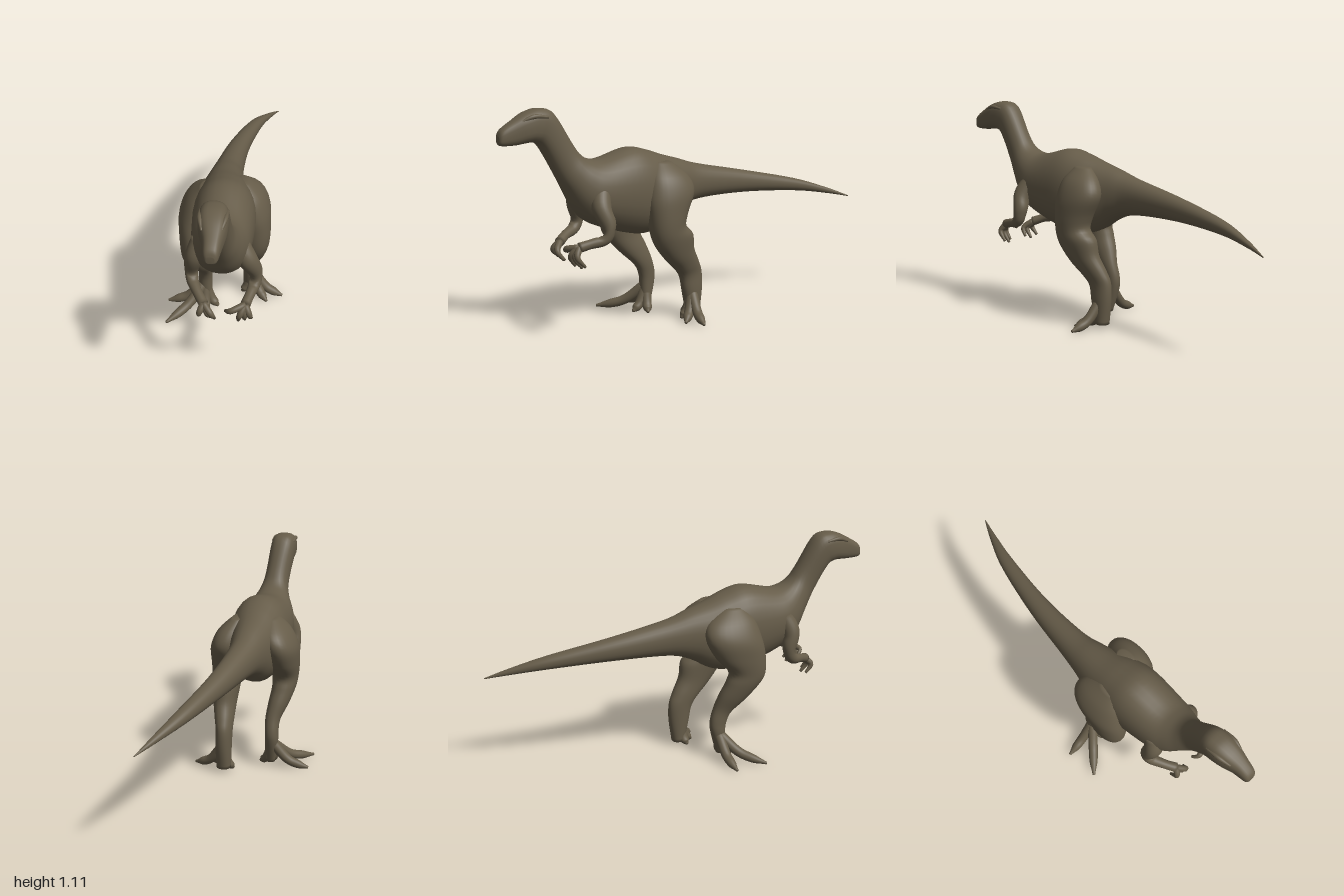
import * as THREE from 'three';

const SIDES = 28;
const V3 = (x, y, z) => new THREE.Vector3(x, y, z);

// Smooth in-between rows for a short list of cross-sections
function refine(rows, steps) {
  const out = [];
  const row = i => rows[Math.min(Math.max(i, 0), rows.length - 1)];
  for (let i = 0; i < rows.length - 1; i++) {
    for (let s = 0; s < steps; s++) {
      const t = s / steps;
      out.push(row(i).map((b, k) => {
        const a = row(i - 1)[k], c = row(i + 1)[k], d = row(i + 2)[k];
        return b + 0.5 * t * (c - a + t * (2 * a - 5 * b + 4 * c - d + t * (3 * (b - c) + d - a)));
      }));
    }
  }
  out.push(rows[rows.length - 1]);
  return out;
}

// Skin over rings {c, u, v, p}: centre, two half axes and roundness; ends closed
function skin(rings) {
  const zero = V3(0, 0, 0);
  const first = rings[0], last = rings[rings.length - 1];
  const all = [{ ...first, u: zero, v: zero }, ...rings, { ...last, u: zero, v: zero }];
  const pos = [], idx = [];
  const soft = (n, p) => Math.sign(n) * Math.pow(Math.abs(n), p);
  all.forEach(({ c, u, v, p }, i) => {
    for (let j = 0; j < SIDES; j++) {
      const a = (j / SIDES) * Math.PI * 2;
      const q = c.clone().addScaledVector(u, soft(Math.cos(a), p)).addScaledVector(v, soft(Math.sin(a), p));
      pos.push(q.x, Math.max(q.y, 0), q.z);
      if (i < all.length - 1) {
        const k = i * SIDES + j, n = i * SIDES + (j + 1) % SIDES;
        idx.push(k, n, k + SIDES, n, n + SIDES, k + SIDES);
      }
    }
  });
  const g = new THREE.BufferGeometry();
  g.setAttribute('position', new THREE.Float32BufferAttribute(pos, 3));
  g.setIndex(idx);
  g.computeVertexNormals();
  return g;
}

// Rows: z, y of one edge, z, y of the opposite edge, centre x, half width.
// The section grows squarer towards the head.
function loft(rows, side) {
  return skin(refine(rows, 5).map(([z1, y1, z2, y2, x, w]) => ({
    c: V3(x, (y1 + y2) / 2, (z1 + z2) / 2),
    u: V3(0, (y1 - y2) / 2, (z1 - z2) / 2),
    v: V3(side * Math.max(w, 0.001), 0, 0),
    p: 0.92 - 0.2 * THREE.MathUtils.smoothstep(z1, 0.65, 0.8),
  })));
}

// Tapered limb through points x, y, z, radius
function limb(points) {
  const curve = new THREE.CatmullRomCurve3(points.map(p => V3(p[0], p[1], p[2])));
  const n = (points.length - 1) * 5, f = curve.computeFrenetFrames(n);
  const radii = refine(points.map(p => [p[3]]), 5);
  return skin(radii.map(([r], i) => ({
    c: curve.getPoint(i / n),
    u: f.normals[i].clone().multiplyScalar(r),
    v: f.binormals[i].clone().multiplyScalar(r), p: 1,
  })));
}

const mix = (a, b, t) => a + (b - a) * t;

// Toe: drops steeply from the ankle, then runs flat to its tip
function toe([ax, ay, az], [x, z]) {
  const at = (t, y, r) => [mix(ax, x, t), y, mix(az, z, t), r];
  return limb([[ax, ay, az, 0.027], at(0.42, 0.052, 0.025), at(0.72, 0.026, 0.022), at(1, 0.012, 0.007)]);
}

// Finger: bows forward from the wrist, then curls back to its tip
function finger([wx, wy, wz], [x, y, z]) {
  return limb([[wx, wy, wz, 0.017],
    [mix(wx, x, 0.75), mix(wy, y, 0.45), mix(wz, z, 0.5) + 0.03, 0.014], [x, y, z, 0.007]]);
}

// Snout, head, neck, trunk and tail: upper edge, lower edge, centre x, half width
const bodyRows = [
  [1.0, 1.0, 1.0, 0.968, 0.03, 0.018],
  [0.985, 1.03, 0.985, 0.957, 0.03, 0.032],
  [0.93, 1.065, 0.92, 0.955, 0.03, 0.043],
  [0.86, 1.1, 0.865, 0.96, 0.025, 0.06],
  [0.79, 1.112, 0.825, 0.958, 0.022, 0.066],
  [0.72, 1.085, 0.79, 0.93, 0.022, 0.066],
  [0.63, 0.94, 0.72, 0.8, 0.03, 0.066],
  [0.59, 0.885, 0.67, 0.71, 0.03, 0.085],
  [0.54, 0.857, 0.61, 0.61, 0.025, 0.115],
  [0.47, 0.852, 0.53, 0.54, 0.02, 0.138],
  [0.31, 0.888, 0.32, 0.464, 0.015, 0.152],
  [0.2, 0.865, 0.2, 0.455, 0.01, 0.145],
  [0.1, 0.83, 0.1, 0.485, 0, 0.122],
  [0, 0.8, 0, 0.545, -0.005, 0.095],
  [-0.12, 0.762, -0.12, 0.58, -0.005, 0.074],
  [-0.4, 0.702, -0.4, 0.585, 0.023, 0.053],
  [-0.7, 0.634, -0.7, 0.567, 0.085, 0.036],
  [-0.88, 0.573, -0.88, 0.541, 0.147, 0.018],
  [-1, 0.522, -1, 0.517, 0.198, 0.002],
];

// Striding legs: front edge, back edge, centre x, half width
const leftLegRows = [
  [0.2, 0.815, 0.11, 0.81, 0.09, 0.03],
  [0.25, 0.745, 0.04, 0.745, 0.122, 0.068],
  [0.275, 0.65, 0.015, 0.67, 0.14, 0.085],
  [0.272, 0.56, 0.06, 0.57, 0.149, 0.083],
  [0.26, 0.47, 0.075, 0.505, 0.154, 0.076],
  [0.235, 0.405, 0.03, 0.455, 0.153, 0.07],
  [0.175, 0.33, 0.015, 0.375, 0.146, 0.058],
  [0.11, 0.268, -0.025, 0.3, 0.133, 0.048],
  [0.075, 0.22, -0.05, 0.24, 0.125, 0.041],
  [0.06, 0.15, -0.052, 0.15, 0.126, 0.041],
  [0.035, 0.03, -0.035, 0.025, 0.125, 0.038],
];
const rightLegRows = [
  [0.27, 0.81, 0.17, 0.81, -0.075, 0.03],
  [0.32, 0.745, 0.07, 0.745, -0.105, 0.068],
  [0.35, 0.65, 0.05, 0.67, -0.13, 0.083],
  [0.37, 0.56, 0.1, 0.57, -0.134, 0.078],
  [0.37, 0.46, 0.17, 0.49, -0.135, 0.066],
  [0.335, 0.4, 0.16, 0.43, -0.132, 0.06],
  [0.27, 0.325, 0.13, 0.36, -0.117, 0.052],
  [0.2, 0.255, 0.105, 0.285, -0.1, 0.039],
  [0.172, 0.2, 0.085, 0.21, -0.1, 0.035],
  [0.165, 0.14, 0.09, 0.145, -0.1, 0.034],
  [0.165, 0.03, 0.125, 0.025, -0.09, 0.026],
];

// Arms from shoulder to wrist: x, y, z, radius
const leftArm = [[0.1, 0.72, 0.51, 0.045], [0.15, 0.63, 0.54, 0.047], [0.187, 0.545, 0.52, 0.034],
  [0.182, 0.495, 0.545, 0.029], [0.165, 0.48, 0.61, 0.023], [0.15, 0.467, 0.665, 0.024]];
const rightArm = [[-0.07, 0.72, 0.51, 0.045], [-0.1, 0.63, 0.54, 0.046], [-0.117, 0.545, 0.52, 0.033],
  [-0.11, 0.495, 0.545, 0.029], [-0.078, 0.475, 0.61, 0.023], [-0.045, 0.455, 0.66, 0.024]];

// Finger tips x, y, z and toe tips x, z
const leftFingers = [[0.118, 0.375, 0.67], [0.147, 0.367, 0.65], [0.178, 0.378, 0.65], [0.058, 0.432, 0.675]];
const rightFingers = [[-0.068, 0.378, 0.655], [-0.018, 0.368, 0.65], [0.007, 0.378, 0.67]];
const leftToes = [[0.297, 0.05], [0.217, 0.105], [0.138, 0.08], [0.08, 0.035]];
const rightToes = [[-0.297, 0.148], [-0.285, 0.322], [-0.09, 0.22], [-0.03, 0.165]];

export function createModel() {
  const group = new THREE.Group();
  group.name = 'dinosaur';
  const hide = new THREE.MeshStandardMaterial({ color: 0x665c49 });
  hide.name = 'olive brown hide';
  const add = (name, geometry) => {
    const mesh = new THREE.Mesh(geometry, hide);
    mesh.name = name;
    group.add(mesh);
  };
  add('headBodyAndTail', loft(bodyRows, 1));

  const addSide = (side, s, legRows, ankle, toes, arm, fingers) => {
    add(side + 'Leg', loft(legRows, -1));
    toes.forEach((tip, i) => add(side + 'Toe' + (i + 1), toe(ankle, tip)));
    add(side + 'Arm', limb(arm));
    fingers.forEach((tip, i) => add(side + 'Finger' + (i + 1), finger(arm[arm.length - 1], tip)));
    // Low ridge above the eye
    add(side + 'Brow', limb([[0.024 + s * 0.04, 1.06, 0.9, 0.006],
      [0.023 + s * 0.054, 1.082, 0.84, 0.011], [0.022 + s * 0.058, 1.075, 0.77, 0.006]]));
  };
  addSide('left', 1, leftLegRows, [0.135, 0.14, 0.01], leftToes, leftArm, leftFingers);
  addSide('right', -1, rightLegRows, [-0.105, 0.14, 0.13], rightToes, rightArm, rightFingers);
  return group;
}
